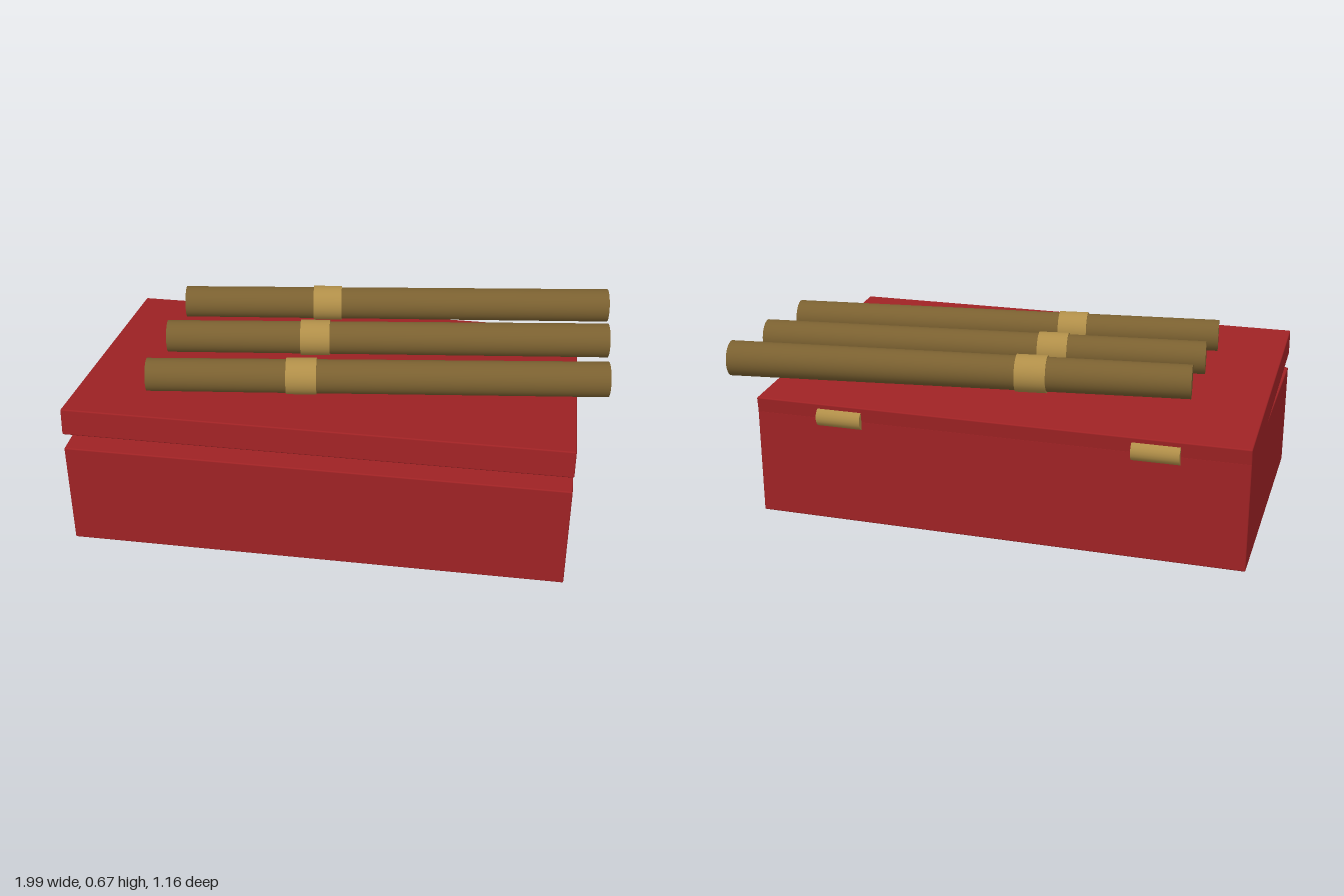
import * as THREE from 'three';
import { RoundedBoxGeometry } from 'three/addons/geometries/RoundedBoxGeometry.js';

const paint = (name, color) => {
  const m = new THREE.MeshStandardMaterial({ color });
  m.name = name;
  return m;
};

export function createModel() {
  const red = paint('red lacquer', 0x9e2224);
  const brown = paint('tobacco brown', 0x7a6030);
  const gold = paint('gold', 0xb08e48);
  const root = new THREE.Group();
  root.name = 'cigarBox';

  const add = (parent, name, geometry, material, x = 0, y = 0, z = 0) => {
    const mesh = new THREE.Mesh(geometry, material);
    mesh.name = name;
    mesh.position.set(x, y, z);
    parent.add(mesh);
    return mesh;
  };

  const boxX = -0.0625, width = 1.875, depth = 1.12;

  // Box body
  add(root, 'boxBody', new RoundedBoxGeometry(width, 0.412, depth, 2, 0.005), red, boxX, 0.206, 0.015);

  // Lid, tipped open towards the front, with a thin lining underneath
  const lid = new THREE.Group();
  lid.name = 'lid';
  lid.position.set(boxX, 0.469, 0.012);
  lid.rotation.x = -0.0985;
  add(lid, 'lidPanel', new RoundedBoxGeometry(width, 0.103, depth, 2, 0.005), red);
  add(lid, 'lidLining', new THREE.BoxGeometry(1.68, 0.008, 0.95), gold, 0, -0.0545, 0);
  root.add(lid);

  // Hinge barrels along the back edge
  for (const x of [-0.665, 0.537]) {
    const barrel = new THREE.CylinderGeometry(0.038, 0.038, 0.175, 20).rotateZ(Math.PI / 2);
    add(root, 'hinge', barrel, gold, x, 0.413, -0.531);
  }

  // Three slanted cigars, slightly slimmer at the right end, each with a band
  for (const z of [-0.402, -0.102, 0.202]) {
    const cigar = new THREE.Group();
    cigar.name = 'cigar';
    cigar.position.set(0.123, 0.602, z);
    cigar.rotation.y = 0.129;
    const body = new THREE.CylinderGeometry(0.063, 0.067, 1.74, 32).rotateZ(Math.PI / 2);
    add(cigar, 'cigarBody', body, brown);
    const band = new THREE.CylinderGeometry(0.07, 0.07, 0.115, 32).rotateZ(Math.PI / 2);
    add(cigar, 'cigarBand', band, gold, -0.285, 0, 0);
    root.add(cigar);
  }
  return root;
}
